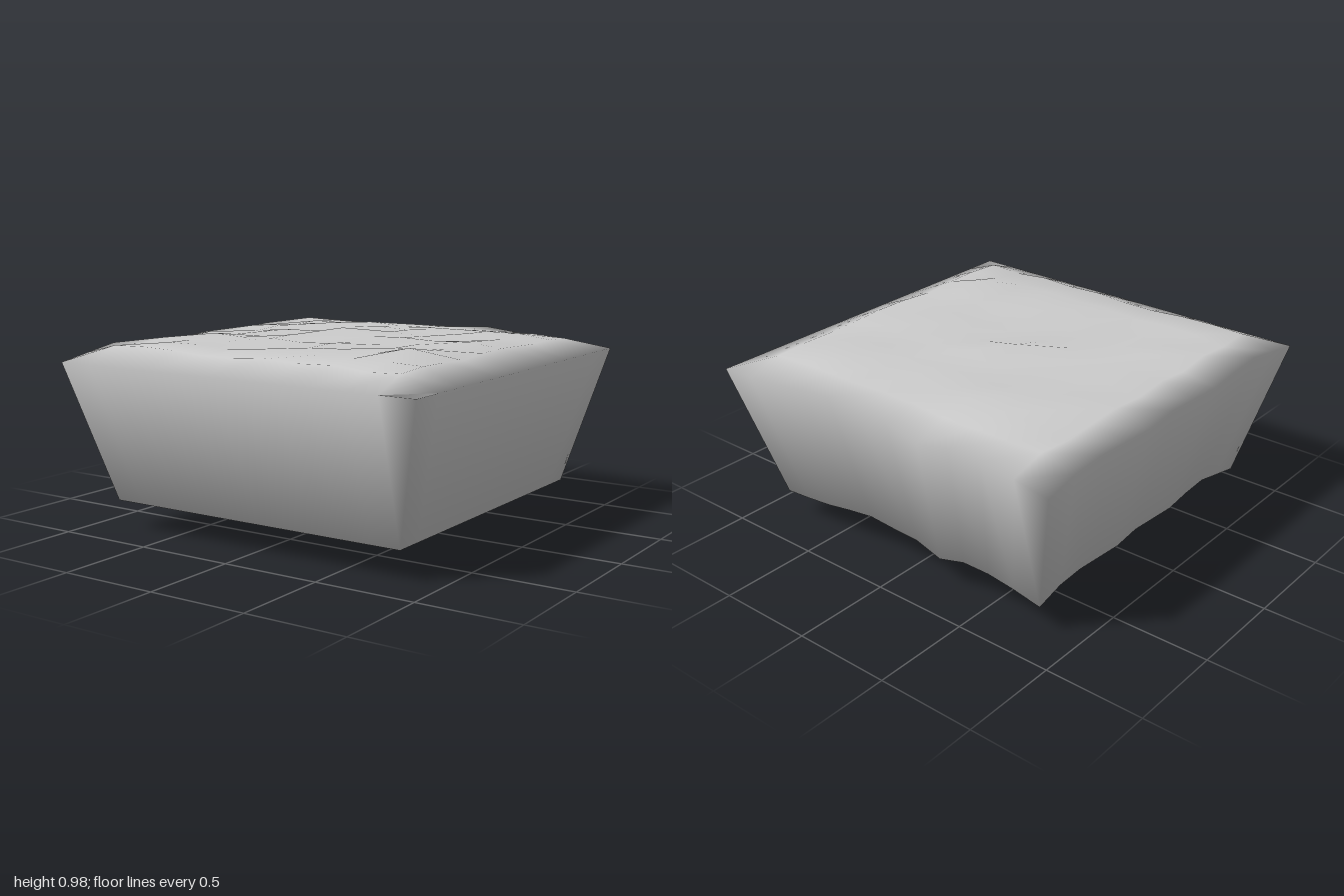
import * as THREE from 'three';

const N = 11; // cells per side of the ground grid
const RIM = 0.85, DEPTH = 0.7, TAPER = 0.82;

// Small ripples of the two uneven edges (back runs along x, left edge along z)
const backRise = [0, 0.03, 0.05, 0.05, 0.01, 0.055, 0.06, 0.07, 0.05, 0.025, 0.01, 0];
const sideRise = [0, 0.04, 0.05, 0.04, 0.03, 0.05, 0.04, 0.03, 0.05, 0.06, 0.03, 0];

// Seeded hash for the gentle bumps, in the range -1..1
function hash(i, j) {
  const s = Math.sin(i * 12.9898 + j * 78.233) * 43758.5453;
  return (s - Math.floor(s)) * 2 - 1;
}

function groundHeight(i, j) {
  if (j === N || i === N) return RIM;
  if (j === 0) return RIM + backRise[i];
  if (i === 0) return RIM + sideRise[j];
  if ((i === 5 && j === 5) || (i === 9 && j === 8)) return 0.975;
  const nearRim = Math.min(i, j, N - i, N - j) === 1;
  return (nearRim ? 0.92 : 0.937) + 0.012 * hash(i, j);
}

function createTile() {
  const positions = [], index = [];
  const id = (i, j) => j * (N + 1) + i;

  // Rolling ground surface
  for (let j = 0; j <= N; j++)
    for (let i = 0; i <= N; i++)
      positions.push((2 * i) / N - 1, groundHeight(i, j), (2 * j) / N - 1);
  for (let j = 0; j < N; j++)
    for (let i = 0; i < N; i++) {
      const a = id(i, j), b = id(i + 1, j), c = id(i, j + 1), d = id(i + 1, j + 1);
      index.push(a, c, b, b, c, d);
    }

  // Rim vertices in order around the tile
  const rim = [];
  for (let k = 0; k < N; k++) rim.push(id(k, 0));
  for (let k = 0; k < N; k++) rim.push(id(N, k));
  for (let k = N; k > 0; k--) rim.push(id(k, N));
  for (let k = N; k > 0; k--) rim.push(id(0, k));

  // Lower ring: the rim drawn in and dropped
  const base = positions.length / 3;
  for (const r of rim)
    positions.push(positions[r * 3] * TAPER, positions[r * 3 + 1] - DEPTH, positions[r * 3 + 2] * TAPER);

  // Tapered walls and the shallow pointed underside
  const apex = positions.length / 3;
  positions.push(0, 0, 0);
  rim.forEach((t, k) => {
    const n = (k + 1) % rim.length;
    index.push(t, rim[n], base + k, rim[n], base + n, base + k);
    index.push(base + k, base + n, apex);
  });

  const geometry = new THREE.BufferGeometry();
  geometry.setAttribute('position', new THREE.Float32BufferAttribute(positions, 3));
  geometry.setIndex(index);
  geometry.computeVertexNormals();
  return geometry;
}

export function createModel() {
  const group = new THREE.Group();
  group.name = 'terrainTile';
  const material = new THREE.MeshStandardMaterial({ color: 0xcccccc, side: THREE.DoubleSide });
  const tile = new THREE.Mesh(createTile(), material);
  tile.name = 'groundBlock';
  group.add(tile);
  return group;
}
